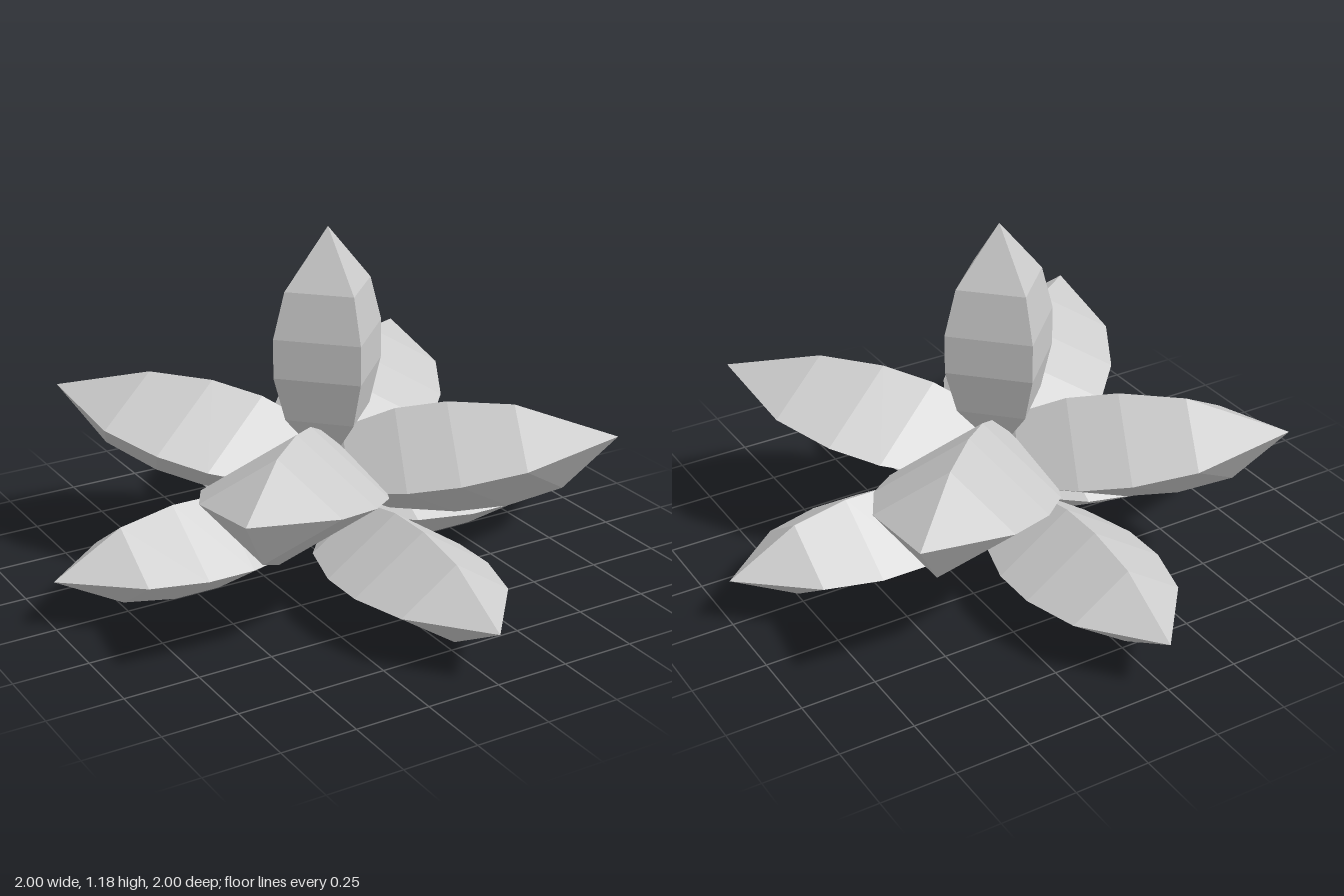
import * as THREE from 'three';

// Shared petal profile: [fraction along the axis, relative thickness]
const PROFILE = [[0, 0], [0.235, 0.79], [0.42, 1], [0.58, 1], [0.765, 0.79], [1, 0]];

const material = new THREE.MeshStandardMaterial({ color: 0xcccccc, flatShading: true });
const v = (x, y, z) => new THREE.Vector3(x, y, z);

// Diamond-section petal from base to tip; side x up must point towards the tip
function petalGeometry(base, tip, side, up) {
  const corners = [side, up, side.clone().negate(), up.clone().negate()];
  const rings = PROFILE.map(([t, r]) => {
    const centre = base.clone().lerp(tip, t);
    return corners.map((c) => centre.clone().addScaledVector(c, r));
  });
  const points = [];
  for (let i = 0; i < rings.length - 1; i++) {
    for (let j = 0; j < 4; j++) {
      const k = (j + 1) % 4;
      const a = rings[i][j], b = rings[i][k], c = rings[i + 1][k], d = rings[i + 1][j];
      if (i > 0) points.push(a, b, c); // base end is a point
      if (i === 0) points.push(a, c, d);
      else if (i < rings.length - 2) points.push(a, c, d); // tip end is a point
    }
  }
  const geometry = new THREE.BufferGeometry().setFromPoints(points);
  geometry.computeVertexNormals();
  return geometry;
}

// Four copies of a petal around the vertical axis
function petalRing(name, geometry, startAngle) {
  const ring = new THREE.Group();
  ring.name = name;
  for (let i = 0; i < 4; i++) {
    const petal = new THREE.Mesh(geometry, material);
    petal.name = 'petal';
    petal.rotation.y = startAngle + (i * Math.PI) / 2;
    ring.add(petal);
  }
  return ring;
}

export function createModel() {
  const model = new THREE.Group();
  model.name = 'crystalFlower';

  // Flat petals along the axes
  const lower = petalGeometry(v(0, 0.17, 0), v(0, 0.17, 1), v(0.25, 0, 0), v(0, 0.168, 0));
  model.add(petalRing('lowerPetals', lower, 0));

  // Raised petals on the diagonals, with slanted cross-sections
  const upper = petalGeometry(v(0, 0.296, -0.123), v(0, 0.55, 0.957), v(0.283, 0, 0), v(0, 0.174, -0.105));
  model.add(petalRing('upperPetals', upper, Math.PI / 4));

  // Upright centre bud
  const bud = new THREE.Mesh(
    petalGeometry(v(0, 0.35, 0), v(0, 1.18, 0), v(0, 0, 0.205), v(0.205, 0, 0)), material);
  bud.name = 'centreBud';
  model.add(bud);

  return model;
}
